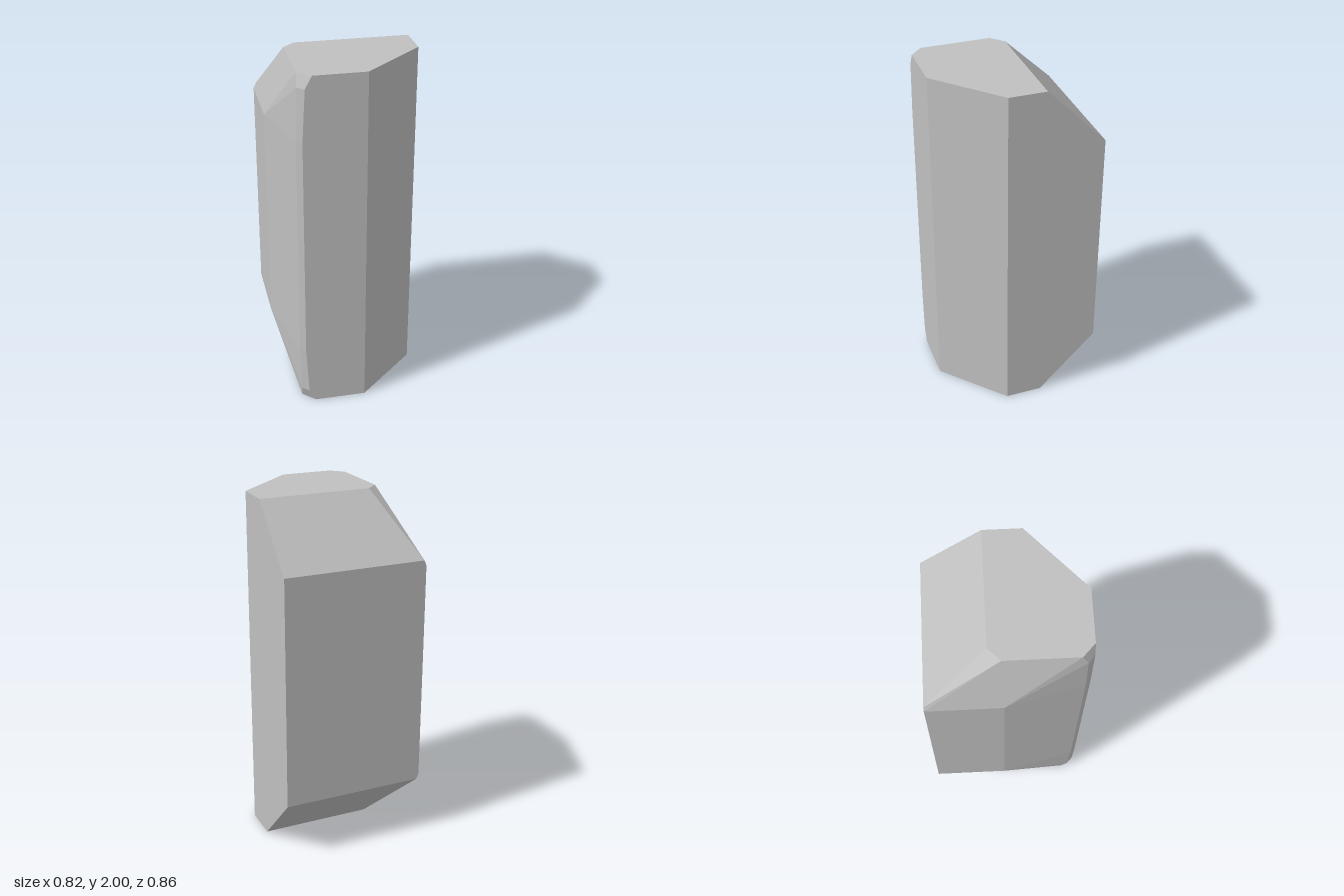
import * as THREE from 'three';
import { ConvexGeometry } from 'three/addons/geometries/ConvexGeometry.js';

export function createModel() {
  const group = new THREE.Group();
  group.name = 'crystalBlock';
  const stone = new THREE.MeshStandardMaterial({ color: 0xc0c0c0 });
  stone.name = 'pale grey stone';

  // Corners of the upper half as [x, height above the middle, z]
  const corners = [
    // flat end cap
    [0.41, 1, -0.097], [0.41, 1, 0.112], [0.063, 1, 0.43], [-0.227, 1, 0.43],
    [-0.297, 1, 0.362], [-0.297, 1, -0.03], [-0.227, 1, -0.097],
    // bevelled front corner
    [-0.265, 0.93, 0.43], [-0.302, 0.93, 0.395],
    [-0.281, 0.64, 0.43], [-0.311, 0.64, 0.402],
    // side and back shoulders
    [-0.413, 0.63, -0.02], [-0.413, 0.63, -0.43],
    [-0.4, 0.66, -0.43], [0.41, 0.66, -0.43],
  ];

  // Mirror the corners about the middle height and wrap them in flat facets
  const points = corners.flatMap(([x, h, z]) => [
    new THREE.Vector3(x, 1 + h, z),
    new THREE.Vector3(x, 1 - h, z),
  ]);
  const block = new THREE.Mesh(new ConvexGeometry(points), stone);
  block.name = 'facetedBlock';
  group.add(block);
  return group;
}
